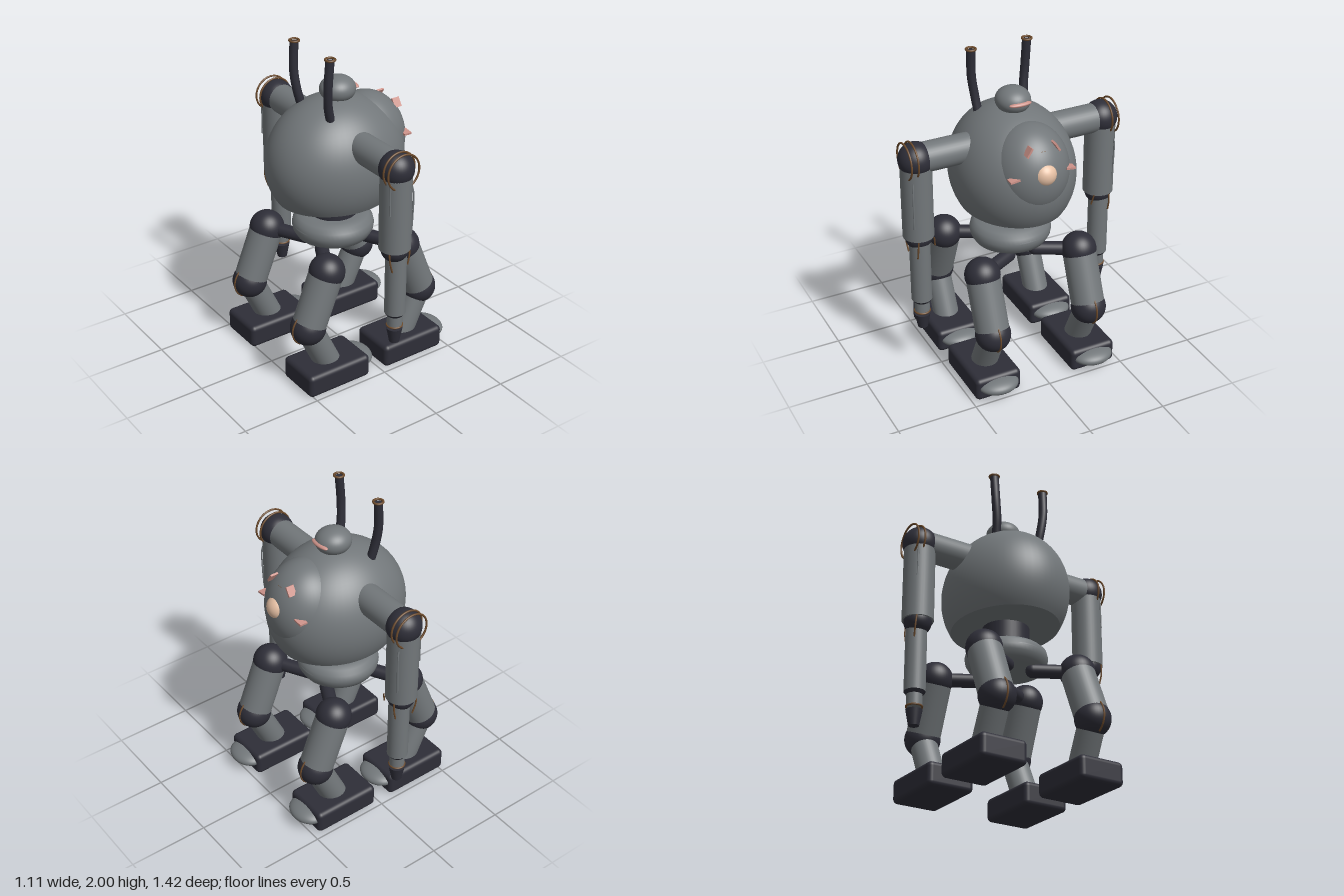
import * as THREE from 'three';
import { RoundedBoxGeometry } from 'three/addons/geometries/RoundedBoxGeometry.js';

const mat = (name, color) => Object.assign(new THREE.MeshStandardMaterial({ color }), { name });
const V = (x, y, z) => new THREE.Vector3(x, y, z);

export function createModel() {
  const model = new THREE.Group();
  model.name = 'walkerRobot';
  const steel = mat('steel grey', 0x72777a);
  const dark = mat('dark rubber', 0x2e2e38);
  const brown = mat('brown wire', 0x6b4a2c);
  const pink = mat('pink trim', 0xcc9289);
  const peach = mat('peach eye', 0xe6c0a4);
  const CX = -0.03; // axis shared by neck, arms and legs

  const add = (name, geo, m, x = 0, y = 0, z = 0) => {
    const mesh = new THREE.Mesh(geo, m);
    mesh.name = name;
    mesh.position.set(x, y, z);
    model.add(mesh);
    return mesh;
  };
  const ball = (name, m, x, y, z, rx, ry = rx, rz = rx) => {
    const b = add(name, new THREE.SphereGeometry(1, 40, 28), m, x, y, z);
    b.scale.set(rx, ry, rz);
    return b;
  };
  // cylinder between two points
  const rod = (name, m, a, b, ra, rb = ra) => {
    const mesh = add(name, new THREE.CylinderGeometry(rb, ra, a.distanceTo(b), 36), m);
    mesh.position.copy(a).lerp(b, 0.5);
    mesh.quaternion.setFromUnitVectors(V(0, 1, 0), b.clone().sub(a).normalize());
    return mesh;
  };
  const wire = (name, m, pts, r) =>
    add(name, new THREE.TubeGeometry(new THREE.CatmullRomCurve3(pts), 24, r, 10), m);
  // ellipsoid with a flat cut at height `cut` (in units of ry) below its centre
  const cutBall = (name, m, x, y, z, rx, ry, rz, cut) => {
    const a0 = -Math.asin(cut), pts = [];
    for (let i = 0; i <= 32; i++) {
      const a = a0 + (Math.PI / 2 - a0) * i / 32;
      pts.push(new THREE.Vector2(Math.max(0, Math.cos(a)), Math.sin(a)));
    }
    add(name, new THREE.LatheGeometry(pts, 56), m, x, y, z).scale.set(rx, ry, rz);
    const cap = new THREE.CircleGeometry(Math.cos(a0), 56).rotateX(Math.PI / 2);
    add(name + 'Base', cap, m, x, y - cut * ry, z).scale.set(rx, 1, rz);
  };

  // body, face plate and head
  cutBall('body', steel, -0.02, 1.27, 0, 0.44, 0.41, 0.37, 0.537);
  cutBall('facePlate', steel, 0.195, 1.36, 0, 0.25, 0.285, 0.24, 0.49);
  ball('head', steel, 0, 1.715, 0, 0.11, 0.08, 0.105);
  ball('headSlit', pink, 0.096, 1.722, 0, 0.024, 0.014, 0.07);

  // eye with two brow arches and four lashes
  ball('eye', peach, 0.387, 1.415, 0, 0.075);
  for (const [r, t, x, m] of [[0.1, 0.011, 0.368, dark], [0.122, 0.007, 0.375, brown]]) {
    add('browArch', new THREE.TorusGeometry(r, t, 10, 40, Math.PI), m, x, 1.425, 0).rotation.y = Math.PI / 2;
  }
  for (const s of [1, -1]) {
    add('upperLash', new THREE.BoxGeometry(0.05, 0.06, 0.012), pink, 0.365, 1.563, s * 0.088).rotation.x = -s * 0.55;
    add('sideLash', new THREE.BoxGeometry(0.05, 0.012, 0.06), pink, 0.365, 1.404, s * 0.178).rotation.x = s * 0.12;
  }

  // neck and pelvis
  rod('neck', dark, V(CX, 0.85, 0), V(CX, 1.06, 0), 0.143);
  cutBall('pelvis', steel, CX - 0.005, 0.85, 0, 0.25, 0.075, 0.24, 0.98);
  const ring = new THREE.LatheGeometry([[0, -0.08], [0.19, -0.08], [0.225, -0.065], [0.245, -0.03],
    [0.25, 0], [0.242, 0.035], [0.215, 0.06], [0.17, 0.073], [0, 0.075]].map(p => new THREE.Vector2(...p)), 56);
  add('pelvisRim', ring, steel, CX - 0.005, 0.848, 0);

  for (const s of [1, -1]) {
    // antenna with open tip
    wire('antenna', dark, [V(-0.155, 1.6, s * 0.15), V(-0.178, 1.7, s * 0.16),
      V(-0.188, 1.82, s * 0.174), V(-0.178, 1.995, s * 0.18)], 0.027).material = dark;
    add('antennaTip', new THREE.TorusGeometry(0.028, 0.007, 10, 28).rotateX(Math.PI / 2), brown, -0.177, 1.993, s * 0.18);
    add('antennaBore', new THREE.CircleGeometry(0.026, 24).rotateX(-Math.PI / 2), dark, -0.177, 1.985, s * 0.18);

    // shoulder
    const az = s * 0.608;
    rod('shoulderTube', steel, V(CX, 1.455, s * 0.25), V(CX, 1.455, s * 0.56), 0.09);
    ball('shoulderJoint', dark, CX, 1.455, az, 0.104);
    for (const z of [0.632, 0.675])
      add('shoulderRing', new THREE.TorusGeometry(0.108, 0.006, 8, 48), brown, CX, 1.455, s * z);

    // arm
    rod('upperArm', steel, V(CX, 0.95, az), V(CX, 1.415, az), 0.094);
    wire('armCable', steel, [V(CX + 0.075, 1.34, s * 0.66), V(CX + 0.082, 1.3, s * 0.664),
      V(CX + 0.08, 1.15, s * 0.664), V(CX + 0.075, 1.04, s * 0.662)], 0.005);
    wire('armCable', steel, [V(CX - 0.08, 1.4, s * 0.66), V(CX - 0.08, 1.2, s * 0.662)], 0.005);
    ball('elbow', dark, CX, 0.945, az, 0.083);
    wire('elbowWire', brown, [V(CX - 0.075, 0.96, s * 0.655), V(CX - 0.07, 0.89, s * 0.66), V(CX - 0.05, 0.82, s * 0.655)], 0.005);
    wire('elbowWire', brown, [V(CX + 0.08, 0.96, s * 0.64), V(CX + 0.08, 0.89, s * 0.645), V(CX + 0.068, 0.83, s * 0.645)], 0.005);
    wire('elbowWire', brown, [V(CX + 0.075, 0.96, s * 0.54), V(CX + 0.06, 0.89, s * 0.53)], 0.005);
    const hx = -0.018;
    rod('forearm', steel, V(hx, 0.51, az), V(hx, 0.93, az), 0.063);
    rod('forearmCuff', dark, V(hx, 0.492, az), V(hx, 0.51, az), 0.05, 0.063);
    rod('wrist', steel, V(hx, 0.42, az), V(hx, 0.495, az), 0.046);
    add('wristRing', new THREE.TorusGeometry(0.046, 0.006, 8, 36).rotateX(Math.PI / 2), brown, hx, 0.42, az);
    rod('handTip', dark, V(hx, 0.305, az), V(hx, 0.4, az), 0.031, 0.049);

    // legs: d = +1 front pair, -1 rear pair
    for (const d of [1, -1]) {
      const z = s * 0.325;
      const hip = V(CX + d * 0.275, 0.745, z), knee = V(CX + d * 0.412, 0.405, z);
      const ankle = V(CX + d * 0.25, 0.06, z);
      const inner = V(CX + d * 0.15, 0.745, s * 0.09);
      rod('hipAxle', dark, inner, hip, 0.042);
      ball('hipAxleEnd', dark, inner.x, inner.y, inner.z, 0.042);
      ball('hipJoint', dark, hip.x, hip.y, z, 0.108);
      rod('thigh', steel, knee, hip, 0.103);
      ball('knee', dark, knee.x, knee.y, z, 0.108);
      const arc = add('kneeWire', new THREE.TorusGeometry(0.109, 0.006, 8, 32, 2.0), brown, knee.x, knee.y, z);
      arc.rotation.z = (d > 0 ? 0 : Math.PI) - 1.0;
      rod('shin', steel, ankle, knee, 0.081);

      // foot with toe cap
      const fx = CX + d * 0.277;
      add('foot', new RoundedBoxGeometry(0.437, 0.148, 0.298, 4, 0.03), dark, fx, 0.075, z);
      ball('toe', steel, fx + 0.2, 0.085, z, 0.103, 0.048, 0.128);
    }
  }
  return model;
}
